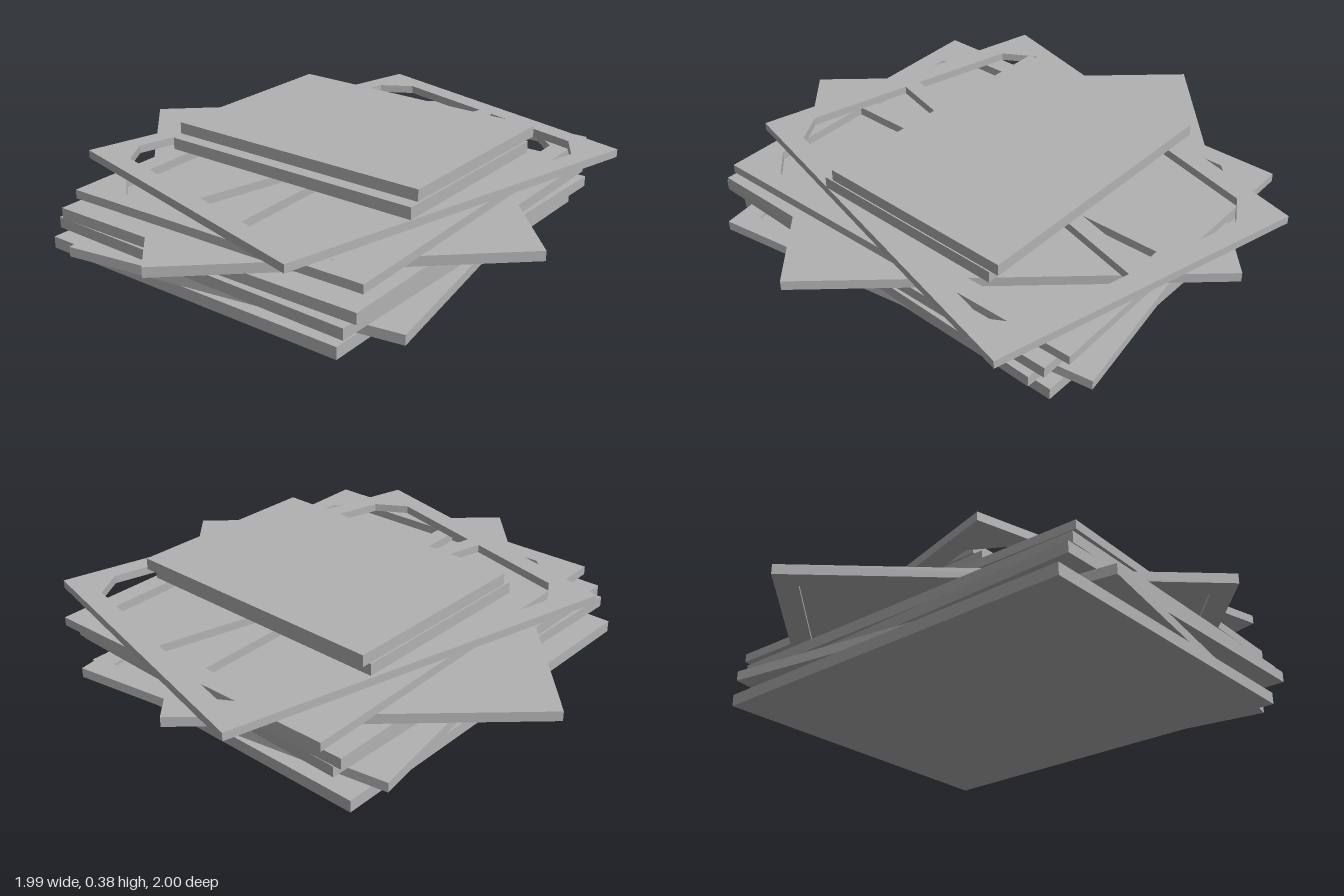
import * as THREE from 'three';

// Closed outline from [x, y] corners
function outline(points, Type = THREE.Shape) {
  return new Type(points.map(([x, y]) => new THREE.Vector2(x, y)));
}

function rectangle(w, d) {
  return [[-w / 2, -d / 2], [w / 2, -d / 2], [w / 2, d / 2], [-w / 2, d / 2]];
}

// Extrude a floor-plan shape upwards from y
function slab(shape, y, height) {
  const g = new THREE.ExtrudeGeometry(shape, { depth: height, bevelEnabled: false });
  g.rotateX(-Math.PI / 2);
  g.translate(0, y, 0);
  return g;
}

export function createModel() {
  const model = new THREE.Group();
  const grey = new THREE.MeshStandardMaterial({ color: 0xb2b2b2 });
  grey.name = 'plain grey';

  function add(name, geometry, x, z, angle, parent = model) {
    const mesh = new THREE.Mesh(geometry, grey);
    mesh.name = name;
    mesh.position.set(x, 0, z);
    mesh.rotation.y = angle;
    parent.add(mesh);
    return mesh;
  }

  // Solid bottom panel
  const W = 1.29, D = 1.535;
  add('basePanel', slab(outline(rectangle(W, D)), 0, 0.045), 0, 0.014, 0);

  // Panels with a shallow recess on one face: y, height, x, z, angle, recess side
  const rim = 0.08, recess = 0.012;
  const trays = [
    [0.051, 0.037, 0.05, 0.003, 0.163, 'up'],
    [0.096, 0.041, 0.06, 0.03, -0.019, 'down'],
    [0.138, 0.041, 0.055, 0.012, 0.014, 'down'],
    [0.181, 0.037, -0.004, 0, 0.75, 'down'],
  ];
  trays.forEach(([y, h, x, z, angle, side], i) => {
    const tray = new THREE.Group();
    tray.name = `recessedPanel${i + 1}`;
    tray.position.set(x, 0, z);
    tray.rotation.y = angle;
    const border = outline(rectangle(W, D));
    border.holes.push(outline(rectangle(W - 2 * rim, D - 2 * rim), THREE.Path));
    add('panelRim', slab(border, y, h), 0, 0, 0, tray);
    const plate = outline(rectangle(W - 2 * rim, D - 2 * rim));
    add('panelPlate', slab(plate, side === 'up' ? y : y + recess, h - recess), 0, 0, 0, tray);
    model.add(tray);
  });

  // Open frames: centre bar and two windows with cut outer corners
  function windowFrame() {
    const shape = outline(rectangle(1.231, 1.567));
    const bar = 0.033, edge = 0.54, end = 0.706, cut = 0.098;
    for (const s of [-1, 1]) {
      shape.holes.push(outline([
        [s * bar, -end], [s * (edge - cut), -end], [s * edge, cut - end],
        [s * edge, end - cut], [s * (edge - cut), end], [s * bar, end],
      ], THREE.Path));
    }
    return shape;
  }
  add('lowerFrame', slab(windowFrame(), 0.221, 0.033), 0.067, -0.038, 0.028);
  add('upperFrame', slab(windowFrame(), 0.256, 0.031), 0.065, -0.088, -0.242);

  // Two small solid boards on top
  const board = outline(rectangle(1.07, 0.78));
  add('lowerBoard', slab(board, 0.29, 0.045), 0.065, -0.066, 0);
  add('topBoard', slab(board, 0.341, 0.044), 0.065, -0.106, 0);

  return model;
}
